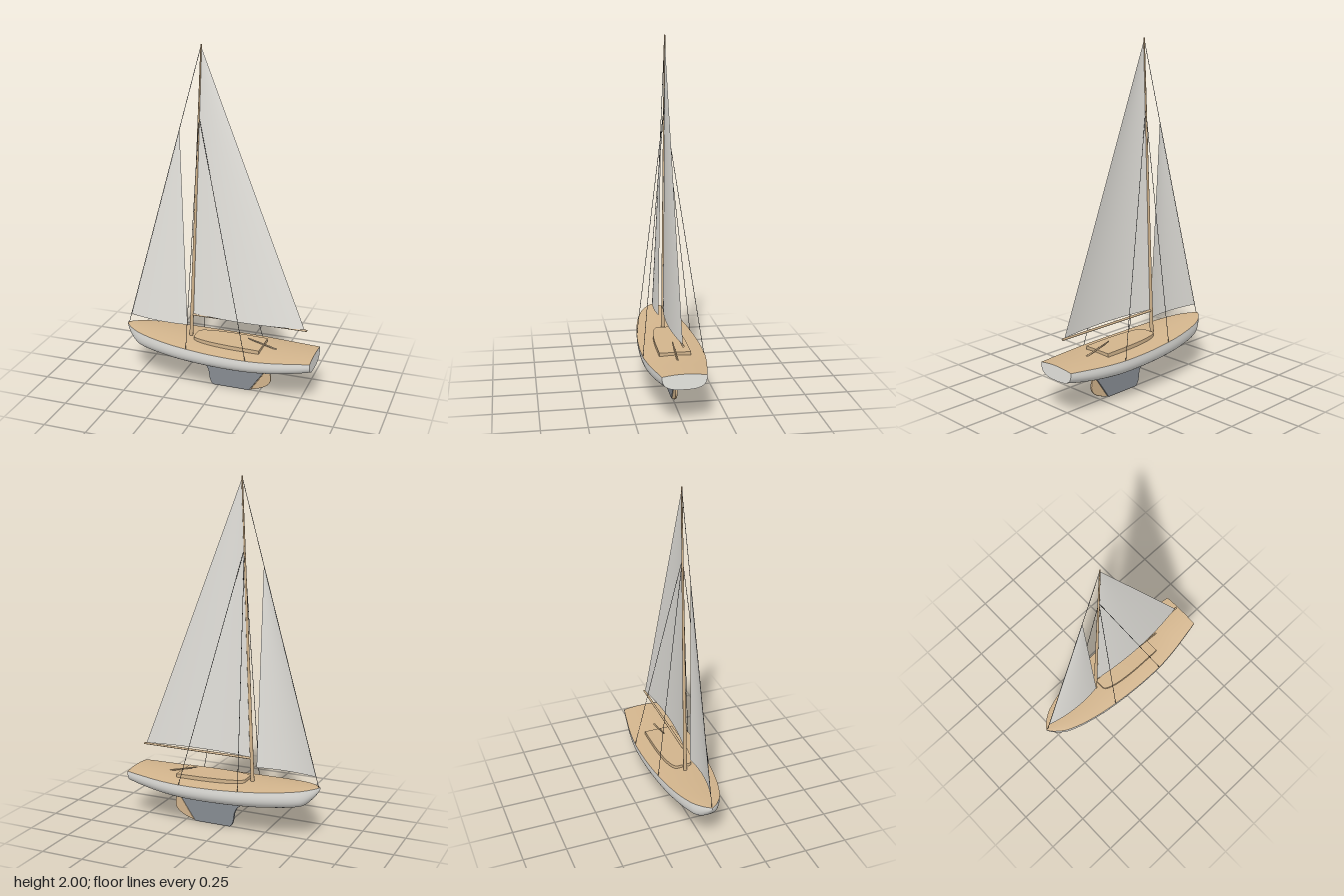
import * as THREE from 'three';
import { ParametricGeometry } from 'three/addons/geometries/ParametricGeometry.js';

const mat = (name, color, side = THREE.FrontSide) => {
  const m = new THREE.MeshStandardMaterial({ color, side });
  m.name = name;
  return m;
};

export function createModel() {
  const boat = new THREE.Group();
  boat.name = 'sailboat';
  const white = mat('hullWhite', 0xf0efea);
  const wood = mat('wood', 0xd2b48c);
  const canvas = mat('sailCanvas', 0xeeece6, THREE.DoubleSide);
  const grey = mat('keelGrey', 0x878c92);
  const dark = mat('rigging', 0x3a3a3a);

  const add = (name, geometry, material) => {
    const mesh = new THREE.Mesh(geometry, material);
    mesh.name = name;
    boat.add(mesh);
    return mesh;
  };
  const surface = (fn, nu, nv) => {
    const g = new ParametricGeometry(fn, nu, nv);
    g.computeVertexNormals();
    return g;
  };
  // Tapered round bar between two points
  const rod = (name, from, to, r0, r1, material, sides = 12) => {
    const a = new THREE.Vector3(...from), b = new THREE.Vector3(...to);
    const dir = b.clone().sub(a);
    const mesh = add(name, new THREE.CylinderGeometry(r1, r0, dir.length(), sides), material);
    mesh.position.copy(a).add(b).multiplyScalar(0.5);
    mesh.quaternion.setFromUnitVectors(new THREE.Vector3(0, 1, 0), dir.normalize());
  };

  // Hull stations: x, half beam, deck edge height, bottom height
  const stations = [
    [-0.575, 0, 0.318, 0.308], [-0.55, 0.033, 0.315, 0.268], [-0.5, 0.072, 0.309, 0.216],
    [-0.45, 0.096, 0.304, 0.196], [-0.35, 0.126, 0.295, 0.182], [-0.2, 0.153, 0.284, 0.168],
    [0, 0.171, 0.275, 0.161], [0.2, 0.174, 0.272, 0.162], [0.35, 0.16, 0.274, 0.172],
    [0.48, 0.138, 0.28, 0.19], [0.575, 0.12, 0.285, 0.21],
  ];
  const lines = [1, 2, 3].map((k) =>
    new THREE.SplineCurve(stations.map((s) => new THREE.Vector2(s[0], s[k]))));
  const station = (u) => {
    const [b, s, k] = lines.map((l) => l.getPoint(u));
    return { x: b.x, beam: Math.max(0, b.y), sheer: s.y, bottom: k.y };
  };
  const skin = (u, v, p) => {
    const s = station(u);
    const c = -Math.cos(Math.PI * v), d = Math.max(0, Math.sin(Math.PI * v));
    return p.set(s.x, s.sheer - (s.sheer - s.bottom) * Math.pow(d, 0.68),
      s.beam * Math.sign(c) * Math.pow(Math.abs(c), 0.68));
  };
  const deckHeight = (s, z) => s.sheer + (s.beam > 0 ? 0.09 * s.beam * (1 - (z / s.beam) ** 2) : 0);

  add('hull', surface(skin, 60, 36), white);
  add('deck', surface((u, v, p) => {
    const s = station(u), z = s.beam * (1 - 2 * v);
    p.set(s.x, deckHeight(s, z), z);
  }, 60, 12), wood);
  add('transom', surface((u, v, p) => {
    skin(1, v, p);
    p.y += (deckHeight(station(1), p.z) - p.y) * u;
  }, 2, 36), white);

  // Low cabin roof with a rounded front
  const roof = new THREE.Shape();
  roof.moveTo(0.27, -0.088);
  roof.lineTo(0.12, -0.088);
  roof.bezierCurveTo(-0.02, -0.086, -0.14, -0.07, -0.14, -0.035);
  roof.lineTo(-0.14, 0.035);
  roof.bezierCurveTo(-0.14, 0.07, -0.02, 0.086, 0.12, 0.088);
  roof.lineTo(0.27, 0.088);
  roof.closePath();
  const roofGeo = new THREE.ExtrudeGeometry(roof, { depth: 0.05, bevelEnabled: false, curveSegments: 14 });
  roofGeo.rotateX(-Math.PI / 2);
  const cabin = add('cabinRoof', roofGeo, wood);
  cabin.position.y = 0.259;
  cabin.rotation.z = -0.018;

  // Fin keel and rudder, thin plates with softened edges
  const fin = (name, shape, thick, material) => {
    const bevel = 0.004;
    const g = new THREE.ExtrudeGeometry(shape, {
      depth: thick - 2 * bevel, bevelThickness: bevel, bevelSize: bevel,
      bevelOffset: -bevel, bevelSegments: 2, curveSegments: 12,
    });
    g.translate(0, 0, bevel - thick / 2);
    add(name, g, material);
  };
  const keel = new THREE.Shape();
  keel.moveTo(-0.19, 0.175);
  keel.bezierCurveTo(-0.09, 0.145, -0.065, 0.12, -0.058, 0.07);
  keel.bezierCurveTo(-0.055, 0.03, -0.045, 0.008, -0.03, 0);
  keel.lineTo(0.19, 0);
  keel.lineTo(0.3, 0.16);
  keel.lineTo(0.3, 0.178);
  keel.closePath();
  fin('keel', keel, 0.018, grey);
  const rudder = new THREE.Shape();
  rudder.moveTo(0.195, 0.004);
  rudder.bezierCurveTo(0.26, 0.02, 0.32, 0.045, 0.32, 0.09);
  rudder.bezierCurveTo(0.32, 0.125, 0.31, 0.14, 0.298, 0.155);
  rudder.closePath();
  fin('rudder', rudder, 0.012, wood);

  // Spars and tiller
  rod('mast', [-0.17, 0.28, 0], [-0.098, 2, 0], 0.011, 0.004, wood);
  rod('boom', [-0.165, 0.43, 0], [0.525, 0.43, 0], 0.007, 0.006, wood);
  rod('tiller', [0.375, 0.28, 0], [0.18, 0.33, 0], 0.005, 0.004, wood, 8);

  // Triangular sails, bellied to the model's front
  const sail = (name, tack, clew, head, belly) => {
    const [T, C, H] = [tack, clew, head].map((p) => new THREE.Vector3(...p));
    const luff = new THREE.Vector3(), leech = new THREE.Vector3();
    add(name, surface((u, v, p) => {
      luff.lerpVectors(T, H, v);
      leech.lerpVectors(C, H, v);
      p.lerpVectors(luff, leech, u);
      p.z += belly * 4 * u * (1 - u) * (1 - v);
    }, 16, 24), canvas);
  };
  sail('mainSail', [-0.16, 0.435, 0], [0.51, 0.435, 0], [-0.099, 1.99, 0], 0.03);
  sail('jib', [-0.547, 0.375, 0], [-0.183, 0.37, 0.025], [-0.228, 1.53, 0], 0.021);

  // Standing rigging
  rod('forestay', [-0.565, 0.317, 0], [-0.098, 1.995, 0], 0.0015, 0.0015, dark, 6);
  for (const side of [-1, 1]) {
    rod('forwardShroud', [-0.145, 0.28, side * 0.157], [-0.113, 1.61, 0], 0.0015, 0.0015, dark, 6);
    rod('aftShroud', [0.215, 0.273, side * 0.17], [-0.113, 1.61, 0], 0.0015, 0.0015, dark, 6);
  }
  return boat;
}
